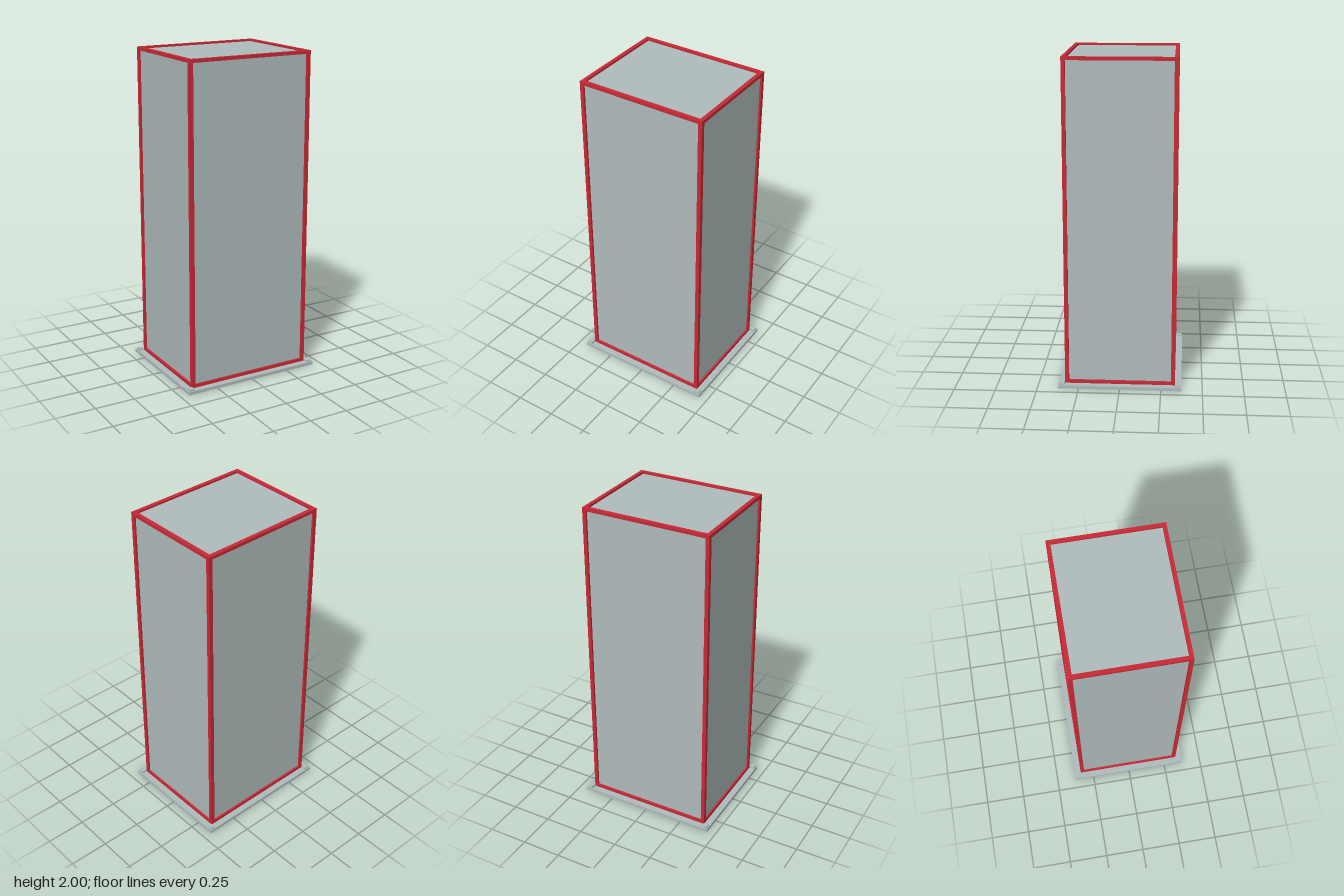
import * as THREE from 'three';

export function createModel() {
  const model = new THREE.Group();
  const grey = new THREE.MeshStandardMaterial({ color: 0xb0bcbc });
  grey.name = 'pale grey';
  const red = new THREE.MeshStandardMaterial({ color: 0xc92a37 });
  red.name = 'red';

  const X = 0.405, Z = 0.334; // frame half width and half depth
  const Y0 = 0.02, Y1 = 2;    // frame bottom and top
  const B = 0.024;            // bar thickness
  const H = Y1 - Y0;
  const midY = (Y0 + Y1) / 2;

  function box(name, material, size, position) {
    const mesh = new THREE.Mesh(new THREE.BoxGeometry(...size), material);
    mesh.name = name;
    mesh.position.set(...position);
    model.add(mesh);
  }

  // Base plate
  box('basePlate', grey, [0.892, 0.02, 0.748], [0, 0.01, 0]);

  // Cabinet body, recessed behind the frame bars
  const recess = B / 2;
  box('bodyPanels', grey,
    [2 * (X - recess), H - 2 * recess, 2 * (Z - recess)], [0, midY, 0]);

  for (const sx of [-1, 1]) {
    for (const sz of [-1, 1]) {
      // Corner posts
      box('cornerPost', red, [B, H, B], [sx * (X - B / 2), midY, sz * (Z - B / 2)]);
      // Raised pads at the corners of the base
      box('cornerPad', grey, [0.032, 0.01, 0.032], [sx * 0.422, 0.025, sz * 0.351]);
    }
  }

  // Horizontal rails, top and bottom
  const railHeight = 0.02;
  for (const y of [Y0 + railHeight / 2, Y1 - railHeight / 2]) {
    for (const s of [-1, 1]) {
      box('widthRail', red, [2 * (X - B), railHeight, B], [0, y, s * (Z - B / 2)]);
      box('depthRail', red, [B, railHeight, 2 * (Z - B)], [s * (X - B / 2), y, 0]);
    }
  }

  return model;
}
